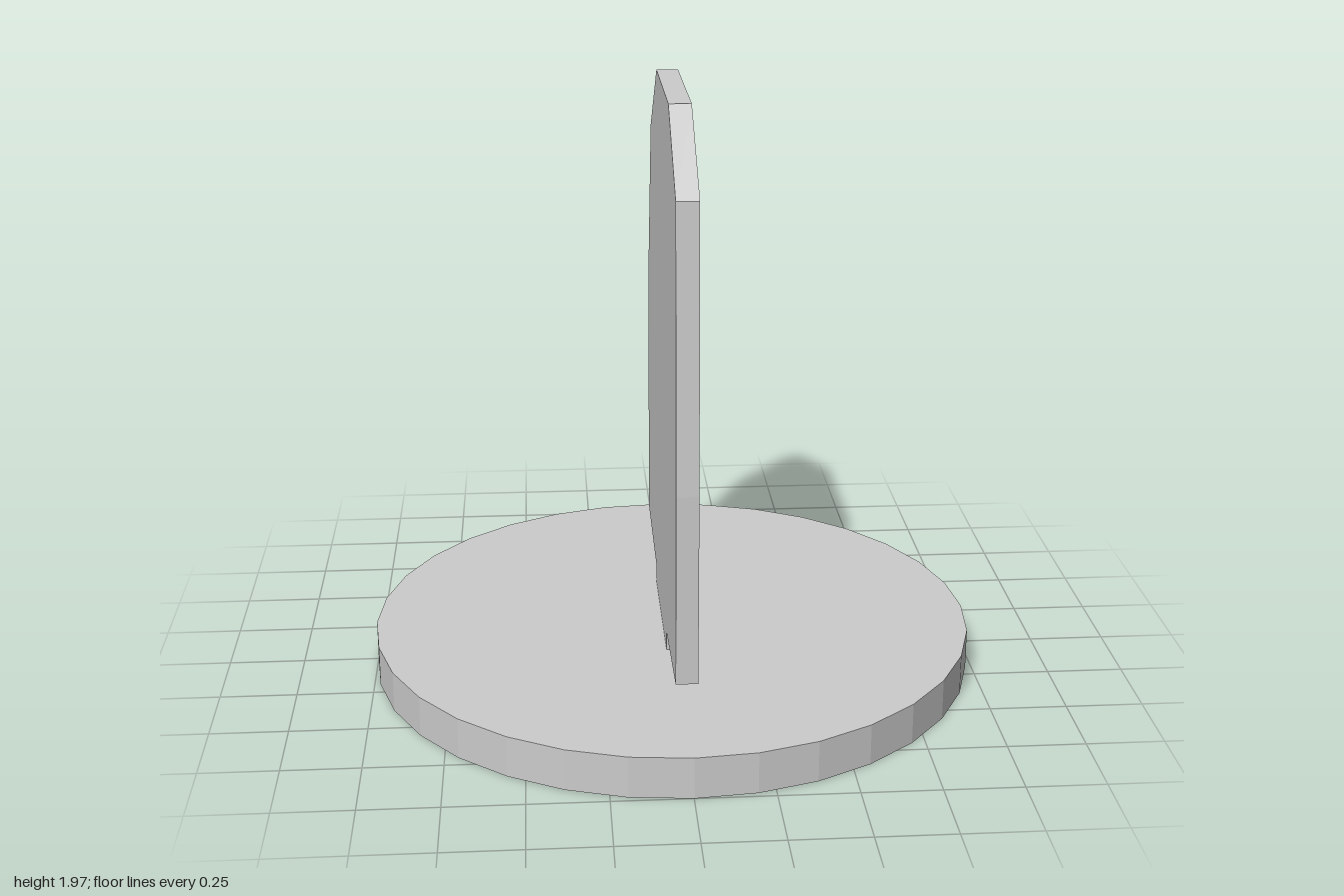
import * as THREE from 'three';

export function createModel() {
  const group = new THREE.Group();
  const material = new THREE.MeshStandardMaterial({ color: 0xcccccc, flatShading: true });
  const baseHeight = 0.135;
  const thickness = 0.07;

  // Round base
  const base = new THREE.Mesh(new THREE.CylinderGeometry(1, 1, baseHeight, 32), material);
  base.name = 'base';
  base.position.y = baseHeight / 2;
  group.add(base);

  // Upright flat panel with a narrow foot, outlined as [z, y]
  const outline = [
    [0.272, baseHeight], [0.272, 0.197], [0.705, 0.227], [0.716, 0.85],
    [0.69, 1.745], [0.37, 1.965], [-0.215, 1.965], [-0.55, 1.717],
    [-0.73, 1.125], [-0.735, 1.0], [-0.735, 0.235], [-0.27, 0.197], [-0.27, baseHeight],
  ].map(([z, y]) => new THREE.Vector2(z, y));
  const geometry = new THREE.ExtrudeGeometry(new THREE.Shape(outline), {
    depth: thickness, bevelEnabled: false,
  });
  geometry.translate(0, 0, -thickness / 2);
  geometry.rotateY(-Math.PI / 2);
  const panel = new THREE.Mesh(geometry, material);
  panel.name = 'uprightPanel';
  group.add(panel);

  return group;
}
